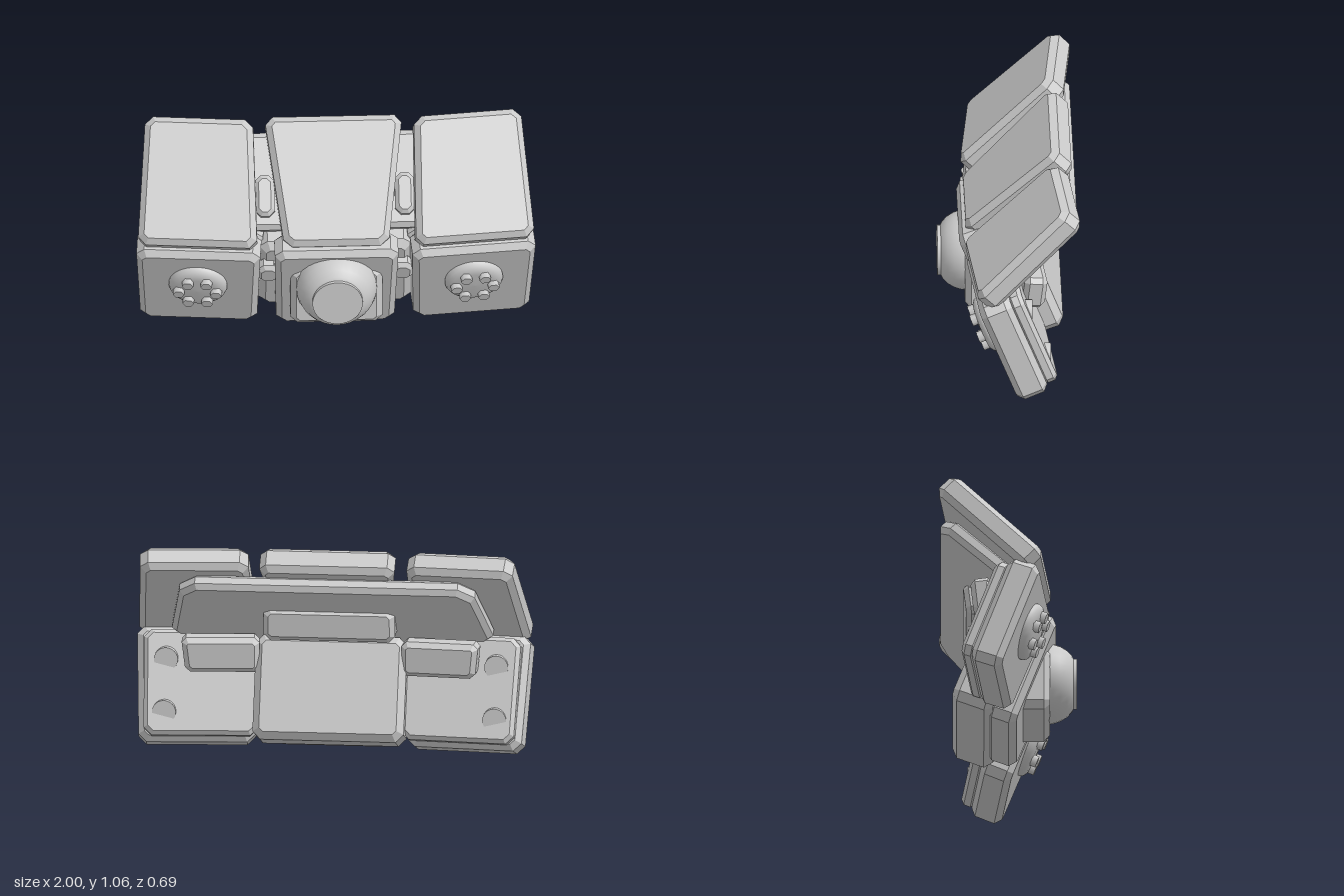
import * as THREE from 'three';

const grey = new THREE.MeshStandardMaterial({ color: 0xcccccc });
grey.name = 'light grey';

const UP = -Math.PI / 4;   // pitch of the upper row
const LOW = 0.367;         // pitch of the lower row
const YAW = 0.095;         // outward turn of the side parts

function mesh(name, geometry, parent) {
  const m = new THREE.Mesh(geometry, grey);
  m.name = name;
  parent.add(m);
  return m;
}

// Four-sided slab with cut corners and chamfered rims, centred on its thickness
function slabGeometry(bl, br, tl, tr, h, t, cut, bevel) {
  const c = [[bl, -h / 2], [br, -h / 2], [tr, h / 2], [tl, h / 2]].map(p => new THREE.Vector2(...p));
  const pts = [];
  c.forEach((p, i) => {
    for (const q of [c[(i + 3) % 4], c[(i + 1) % 4]]) {
      pts.push(p.clone().add(q.clone().sub(p).setLength(cut)));
    }
  });
  const g = new THREE.ExtrudeGeometry(new THREE.Shape(pts), {
    depth: t - 2 * bevel, bevelEnabled: true, bevelSegments: 1,
    bevelSize: bevel, bevelThickness: bevel, bevelOffset: -bevel
  });
  g.translate(0, 0, -t / 2 + bevel);
  return g;
}

// Slab on a pitched plane: v runs up the plane, d is the distance along its normal.
// xb and xt are the [inner, outer] x limits at the bottom and top.
function panel(root, name, o) {
  const { pitch, xb, xt, v, d, side = 1, yaw = 0, cut = 0.04, bevel = 0.03 } = o;
  const h = v[1] - v[0], t = d[1] - d[0];
  const vm = (v[0] + v[1]) / 2, dm = (d[0] + d[1]) / 2;
  const x0 = (xb[0] + xb[1] + xt[0] + xt[1]) / 4;
  const lean = Math.sin(pitch) * Math.sin(yaw) * h / 2;
  let b = xb.map(x => (x - x0 + lean) / Math.cos(yaw));
  let k = xt.map(x => (x - x0 - lean) / Math.cos(yaw));
  if (side < 0) {
    b = [-b[1], -b[0]];
    k = [-k[1], -k[0]];
  }
  const g = new THREE.Group();
  g.name = name;
  g.rotation.set(pitch, side * yaw, 0, 'YXZ');
  g.position.set(side * x0,
    vm * Math.cos(pitch) - dm * Math.sin(pitch),
    vm * Math.sin(pitch) + dm * Math.cos(pitch));
  mesh(name + 'Slab', slabGeometry(b[0], b[1], k[0], k[1], h, t, cut, bevel), g);
  root.add(g);
  return g;
}

// Turned part facing +z
function turned(name, profile, parent, segments = 32) {
  const g = new THREE.LatheGeometry(profile.map(p => new THREE.Vector2(...p)), segments);
  g.rotateX(Math.PI / 2);
  return mesh(name, g, parent);
}

function disc(name, r, len, sides, parent, x, y, z) {
  const g = new THREE.CylinderGeometry(r, r, len, sides);
  g.rotateX(Math.PI / 2);
  g.rotateZ(sides === 6 ? Math.PI / 2 : 0);
  const m = mesh(name, g, parent);
  m.position.set(x, y, z);
  return m;
}

export function createModel() {
  const root = new THREE.Group();
  root.name = 'panelUnit';

  // Centre column: upper flap, lower plate and the deep block behind it
  panel(root, 'upperCentrePanel', { pitch: UP, xb: [-0.26, 0.26], xt: [-0.345, 0.345], v: [0.27, 0.93], d: [0.45, 0.594] });
  panel(root, 'lowerCentrePanel', { pitch: LOW, xb: [-0.295, 0.295], xt: [-0.31, 0.31], v: [0.005, 0.62], d: [-0.12, 0.032] });
  panel(root, 'rearCentreBlock', { pitch: LOW, xb: [-0.38, 0.38], xt: [-0.38, 0.38], v: [-0.01, 0.52], d: [-0.305, -0.09], bevel: 0.035 });

  // Sloping plate behind the upper row
  panel(root, 'upperBackPlate', { pitch: UP, xb: [-0.82, 0.82], xt: [-0.73, 0.73], v: [0.38, 0.872], d: [0.372, 0.46], cut: 0.07, bevel: 0.025 });

  // Hinge bar across the middle at the back
  panel(root, 'centreHingeBar', { pitch: -0.12, xb: [-0.33, 0.33], xt: [-0.33, 0.33], v: [0.6, 0.77], d: [-0.135, 0.0], cut: 0.03, bevel: 0.025 });

  // Lens with its housing
  const lens = new THREE.Group();
  lens.name = 'lens';
  lens.position.set(0, 0.337, 0);
  root.add(lens);
  turned('lensDome', [[0.2, 0.08], [0.203, 0.19], [0.2, 0.225], [0.188, 0.262], [0.168, 0.295], [0.142, 0.32], [0.125, 0.328]], lens);
  disc('lensFace', 0.126, 0.05, 32, lens, 0, 0, 0.32);
  const housing = mesh('lensHousing', slabGeometry(-0.23, 0.23, -0.23, 0.23, 0.34, 0.2, 0.035, 0.03), lens);
  housing.position.set(0, -0.057, 0.11);

  for (const side of [1, -1]) {
    const s = { side, yaw: YAW };

    // Side panels, upper and lower
    panel(root, 'upperSidePanel', { ...s, pitch: UP, xb: [0.395, 0.99], xt: [0.4, 0.935], v: [0.285, 0.935], d: [0.45, 0.583] });
    const low = panel(root, 'lowerSidePanel', { ...s, pitch: LOW, xb: [0.385, 0.965], xt: [0.375, 0.995], v: [-0.015, 0.57], d: [-0.175, -0.012] });
    panel(root, 'lowerBackPlate', { ...s, pitch: LOW, xb: [0.36, 0.93], xt: [0.36, 0.95], v: [0.01, 0.545], d: [-0.235, -0.16], bevel: 0.02 });

    // Round knob with six hexagonal bolts
    const knob = new THREE.Group();
    knob.name = 'knob';
    knob.position.set(0, 0.045, 0.08);
    low.add(knob);
    turned('knobDome', [[0.146, -0.01], [0.146, 0.012], [0.138, 0.028], [0.118, 0.042], [0.09, 0.047], [0, 0.05]], knob);
    for (let i = 0; i < 6; i++) {
      const a = i * Math.PI / 3;
      disc('bolt', 0.029, 0.06, 6, knob, 0.093 * Math.cos(a), 0.088 * Math.sin(a), 0.043);
    }

    // Rear bar and half-sunk studs
    panel(root, 'sideHingeBar', { ...s, pitch: -0.1, xb: [0.36, 0.73], xt: [0.36, 0.75], v: [0.41, 0.59], d: [-0.115, 0.0], cut: 0.025, bevel: 0.025 });
    disc('rearStud', 0.06, 0.1, 24, root, side * 0.83, 0.2, -0.15);
    disc('rearStud', 0.06, 0.1, 24, root, side * 0.83, 0.45, -0.058);

    // Links bridging the gaps between columns
    panel(root, 'upperLink', { side, pitch: UP, xb: [0.3, 0.4], xt: [0.3, 0.4], v: [0.44, 0.65], d: [0.42, 0.51], cut: 0.03, bevel: 0.02 });
    panel(root, 'lowerLink', { side, pitch: LOW, xb: [0.28, 0.39], xt: [0.28, 0.39], v: [0.27, 0.4], d: [-0.12, -0.04], cut: 0.03, bevel: 0.02 });
  }
  return root;
}
